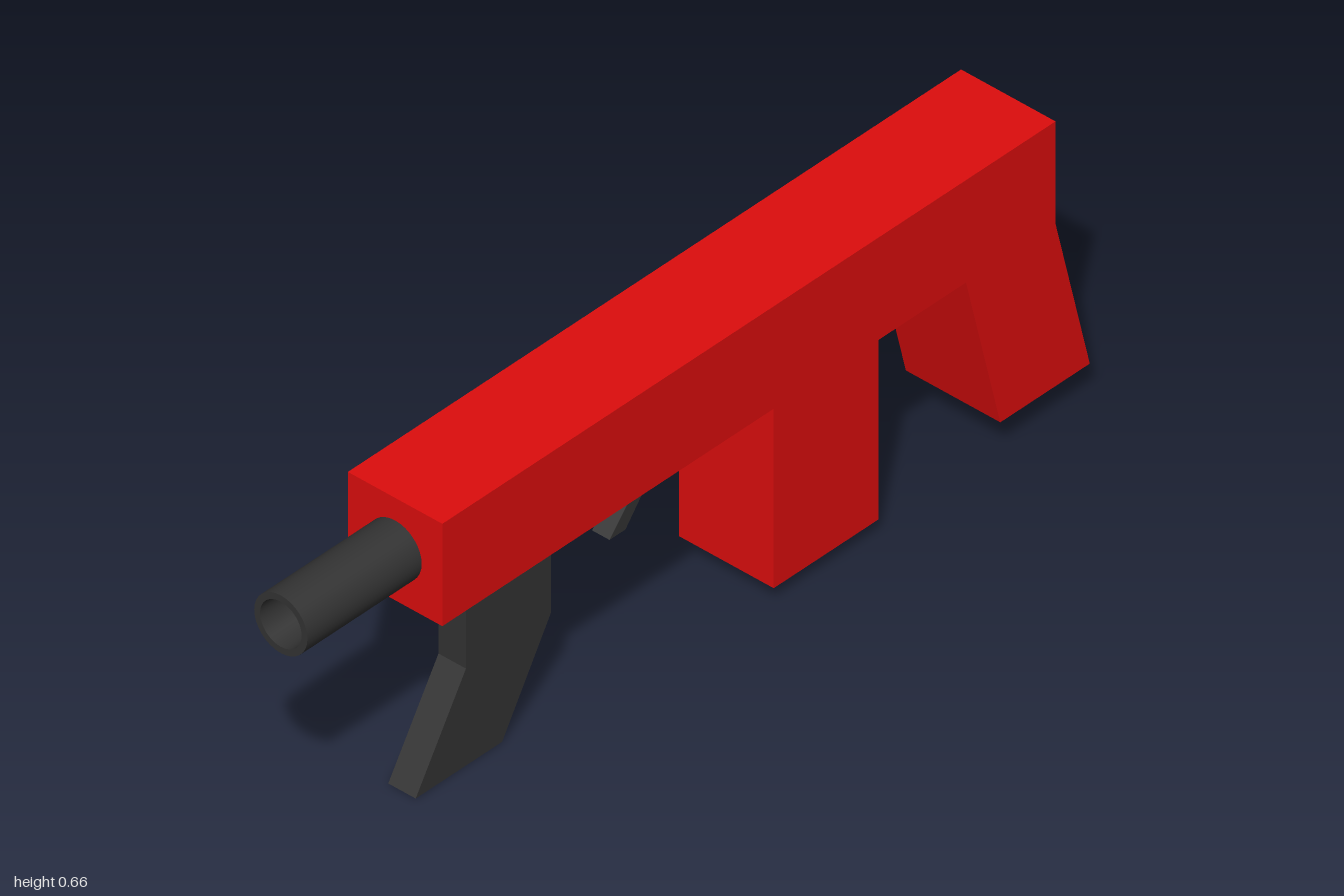
import * as THREE from 'three';

const red = new THREE.MeshStandardMaterial({ color: 0xdd0d0d });
const dark = new THREE.MeshStandardMaterial({ color: 0x333333 });

// Side outline of [z, y] points, given thickness across x
function sidePart(name, points, width, material) {
  const shape = new THREE.Shape(points.map(([z, y]) => new THREE.Vector2(z, y)));
  const geometry = new THREE.ExtrudeGeometry(shape, { depth: width, bevelEnabled: false });
  geometry.translate(0, 0, -width / 2);
  geometry.rotateY(-Math.PI / 2);
  const mesh = new THREE.Mesh(geometry, material);
  mesh.name = name;
  return mesh;
}

export function createModel() {
  const model = new THREE.Group();
  model.name = 'toyBlaster';
  const under = 0.433;

  // Body with block magazine and slanted rear stock in one outline
  model.add(sidePart('bodyWithMagazineAndStock', [
    [0.70, 0.66], [-0.91, 0.66], [-0.91, under], [-1.0, 0.073],
    [-0.765, 0.073], [-0.675, under], [-0.445, under], [-0.445, 0.035],
    [-0.17, 0.035], [-0.17, under], [0.70, under],
  ], 0.227, red));

  // Bent front grip
  model.add(sidePart('frontGrip', [
    [0.55, under], [0.327, under], [0.327, 0.215], [0.455, 0],
    [0.682, 0], [0.55, 0.215],
  ], 0.066, dark));

  // Small bent trigger
  model.add(sidePart('trigger', [
    [0.104, under], [0.06, under], [0.06, 0.35], [0.118, 0.278],
    [0.16, 0.278], [0.104, 0.342],
  ], 0.042, dark));

  // Hollow barrel: round outside, flat rim, bore narrowing inwards
  const barrel = new THREE.Group();
  barrel.name = 'barrel';
  const length = 0.3;
  const addBarrelPart = (name, profile) => {
    const points = profile.map(([r, y]) => new THREE.Vector2(r, y));
    const mesh = new THREE.Mesh(new THREE.LatheGeometry(points, 32), dark);
    mesh.name = name;
    barrel.add(mesh);
  };
  addBarrelPart('barrelOutside', [[0.064, 0], [0.064, length]]);
  addBarrelPart('barrelRim', [[0.064, length], [0.05, length]]);
  addBarrelPart('barrelBore', [[0.05, length], [0.036, 0]]);
  barrel.rotation.x = Math.PI / 2;
  barrel.position.set(0, 0.546, 0.70);
  model.add(barrel);

  return model;
}
